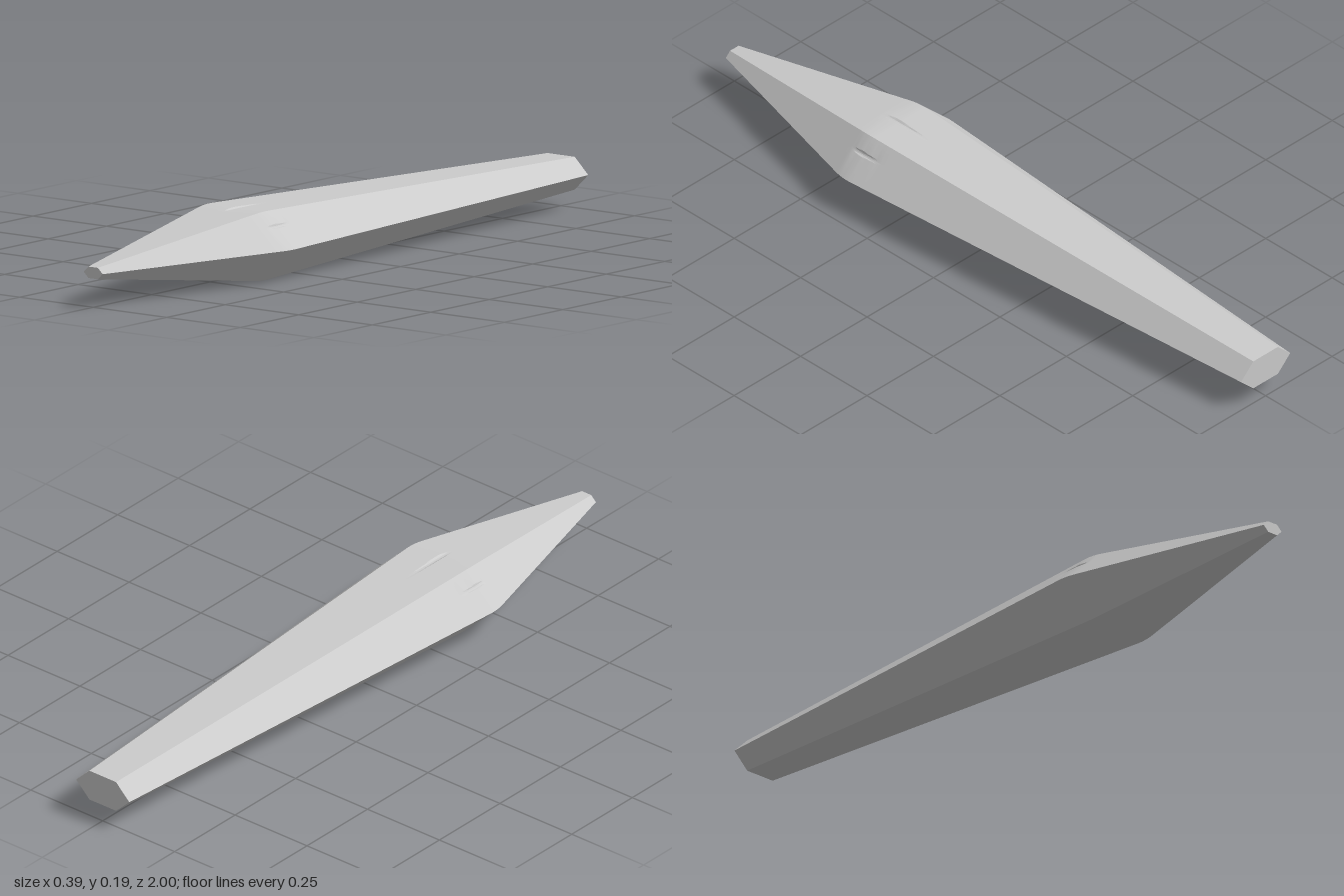
import * as THREE from 'three';
import { toCreasedNormals } from 'three/addons/utils/BufferGeometryUtils.js';

const A = 0.193, B = 0.0925; // half width and half height at the widest section
const RIDGE = 0.4, ROUND = 0.03, PEAK = 1.013;
const CORNERS = [[A, 0], [A / 2, B], [-A / 2, B], [-A, 0], [-A / 2, -B], [A / 2, -B]]
  .map(([x, y]) => new THREE.Vector2(x, y));

// shallow grooves in the three upper faces: place along the face, radius, depth
const GROOVES = [
  { at: 0.61, radius: 0.009, depth: 0.003 },
  { at: 0.5, radius: 0.01, depth: 0.0042 },
  { at: 0.39, radius: 0.009, depth: 0.003 },
];
const STEPS = 8;

// size of the hexagon at z: two straight tapers with a rounded ridge between them
function scaleAt(z) {
  const rear = (PEAK - 0.48) / (RIDGE + 1), front = (PEAK - 0.167) / (1 - RIDGE);
  const d = z - RIDGE;
  if (d <= -ROUND) return PEAK + rear * d;
  if (d >= ROUND) return PEAK - front * d;
  const t = (d + ROUND) / (2 * ROUND);
  return (1 - t) ** 2 * (PEAK - rear * ROUND) + 2 * t * (1 - t) * PEAK + t * t * (PEAK - front * ROUND);
}

// one cross-section, counterclockwise, with the grooves cut at a fixed depth
function section(z) {
  const k = scaleAt(z), points = [];
  CORNERS.forEach((corner, i) => {
    points.push(corner.clone().multiplyScalar(k));
    const groove = GROOVES[i];
    if (!groove) return;
    const next = CORNERS[(i + 1) % 6];
    const along = next.clone().sub(corner).normalize();
    const normal = new THREE.Vector2(along.y, -along.x);
    const centre = corner.clone().lerp(next, groove.at);
    const face = corner.dot(normal);
    for (let s = 0; s <= STEPS; s++) {
      const u = -Math.cos((s / STEPS) * Math.PI) * groove.radius;
      const floor = face - groove.depth + groove.radius - Math.sqrt(Math.max(0, groove.radius ** 2 - u * u));
      const cut = Math.min(0, floor - face * k);
      points.push(centre.clone().addScaledVector(along, u).multiplyScalar(k).addScaledVector(normal, cut));
    }
  });
  return points;
}

function bodyGeometry() {
  const zs = [-1, 0.25];
  for (let z = 0.28; z < 0.455; z += 0.0075) zs.push(z);
  zs.push(1);
  const positions = [], index = [];
  let n = 0;
  zs.forEach((z) => {
    const ring = section(z);
    n = ring.length;
    ring.forEach((p) => positions.push(p.x, p.y + B, z));
  });
  for (let j = 0; j < zs.length - 1; j++) {
    for (let i = 0; i < n; i++) {
      const a = j * n + i, b = j * n + ((i + 1) % n);
      index.push(a, b, b + n, a, b + n, a + n);
    }
  }
  // flat end caps
  const last = (zs.length - 1) * n, rearCentre = zs.length * n;
  positions.push(0, B, -1, 0, B, 1);
  for (let i = 0; i < n; i++) {
    const next = (i + 1) % n;
    index.push(rearCentre, next, i, rearCentre + 1, last + i, last + next);
  }
  const geometry = new THREE.BufferGeometry();
  geometry.setAttribute('position', new THREE.Float32BufferAttribute(positions, 3));
  geometry.setIndex(index);
  return toCreasedNormals(geometry, 0.3);
}

export function createModel() {
  const group = new THREE.Group();
  group.name = 'taperedHexagonalBar';
  const body = new THREE.Mesh(bodyGeometry(), new THREE.MeshStandardMaterial({ color: 0xcccccc }));
  body.name = 'groovedBody';
  group.add(body);
  return group;
}
